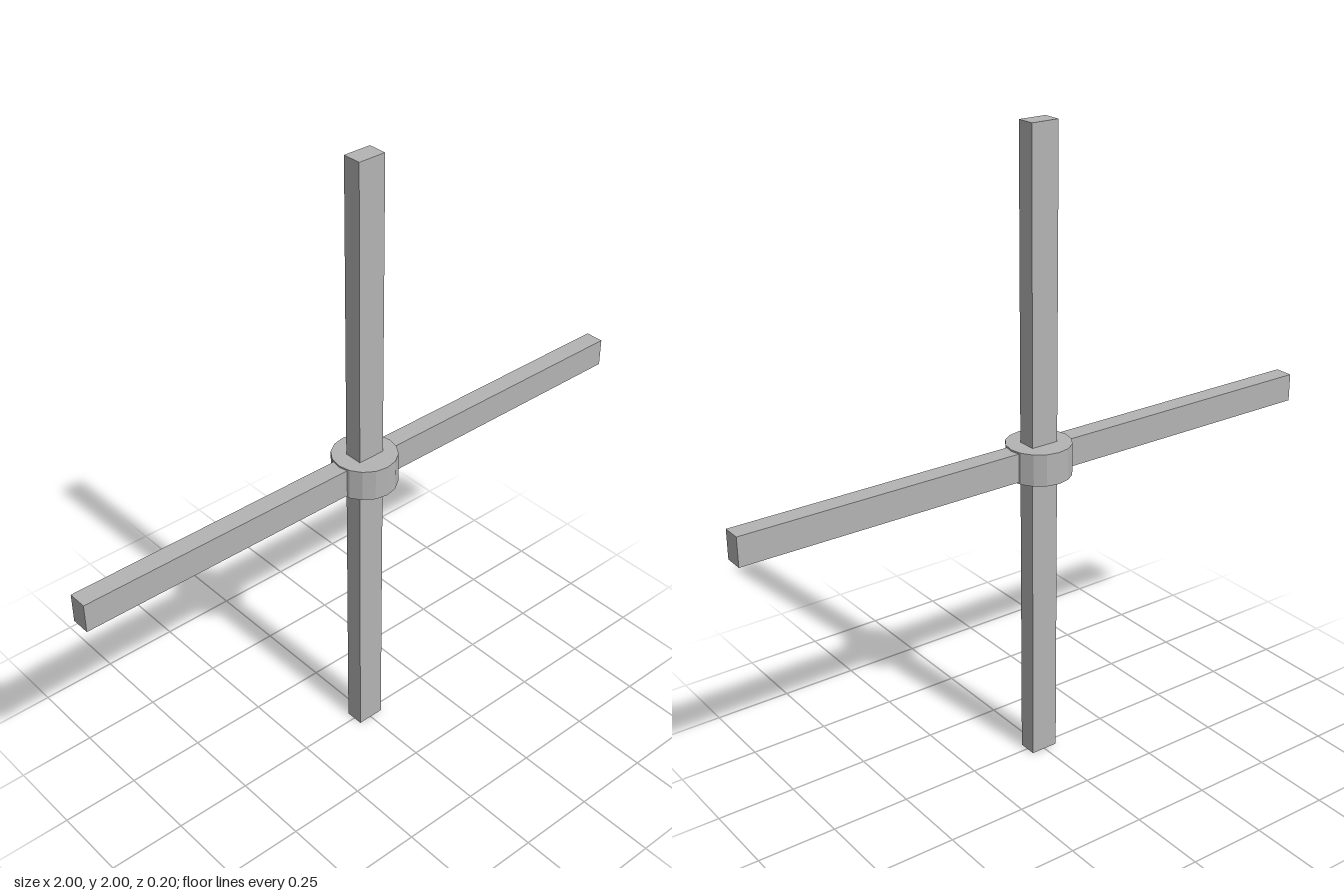
import * as THREE from 'three';

export function createModel() {
  const model = new THREE.Group();
  model.name = 'crossFrame';

  const grey = new THREE.MeshStandardMaterial({ color: 0xb4b4b4 });
  grey.name = 'plain grey';

  const add = (name, geometry) => {
    const mesh = new THREE.Mesh(geometry, grey);
    mesh.name = name;
    mesh.position.y = 1;
    model.add(mesh);
  };

  const barWidth = 0.09, barDepth = 0.06;

  // Upright and crossing bars, meeting at the centre
  add('uprightBar', new THREE.BoxGeometry(barWidth, 2, barDepth));
  add('crossBar', new THREE.BoxGeometry(2, barWidth, barDepth));

  // Faceted collar around the joint, flat on every side
  add('hub', new THREE.CylinderGeometry(0.1, 0.1, 0.1, 16).toNonIndexed());
  model.getObjectByName('hub').geometry.computeVertexNormals();

  return model;
}
